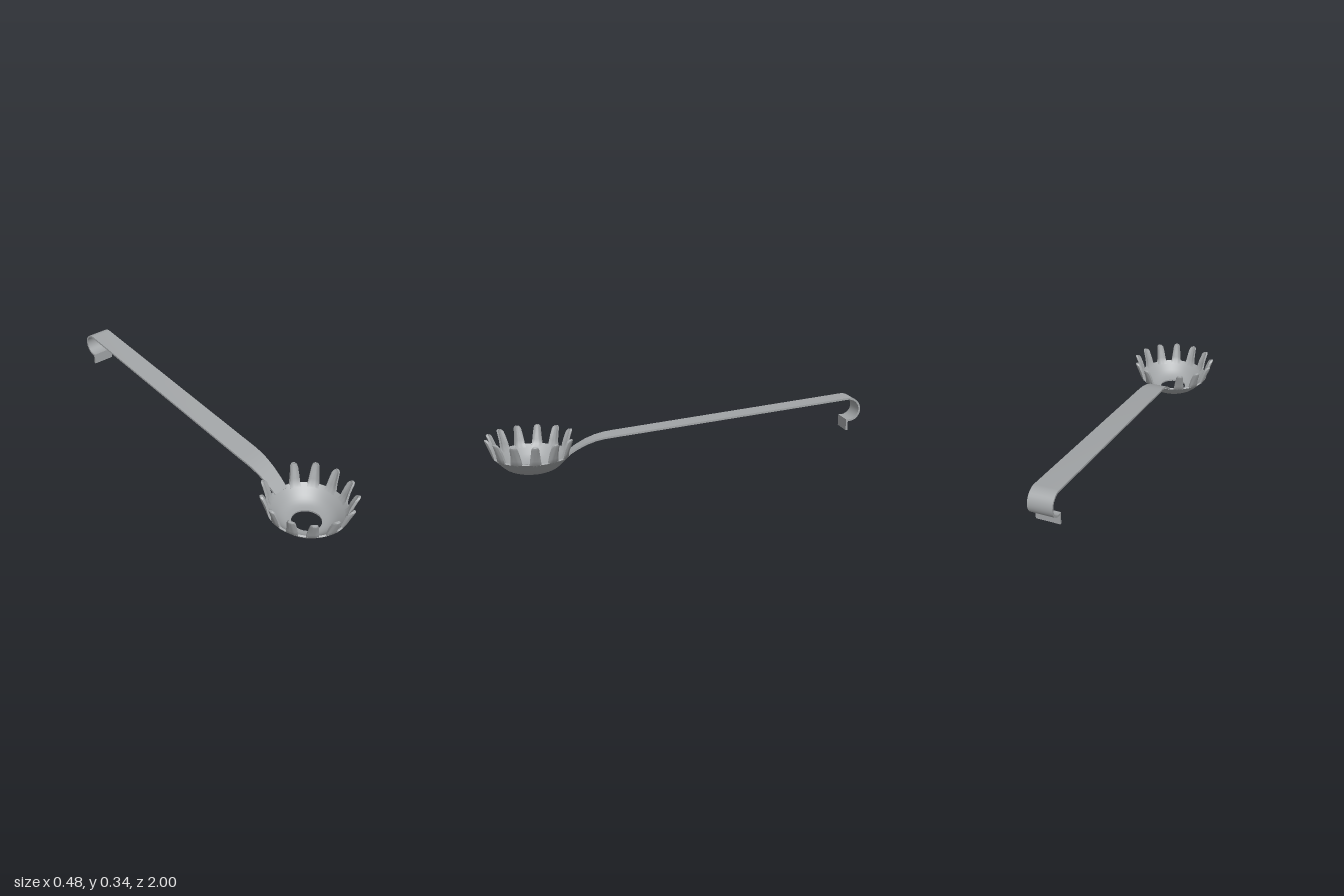
import * as THREE from 'three';
import { toCreasedNormals } from 'three/addons/utils/BufferGeometryUtils.js';

const BOWL_Z = 0.763;
const STEP = (Math.PI * 2) / 13; // twelve prongs plus the handle share the rim

// Closed skin over equal rings; each ring runs along the outer face, then back along the inner one
function loft(rings) {
  const n = rings[0].length;
  const index = [];
  for (let i = 0; i < rings.length - 1; i++) {
    for (let j = 0; j < n; j++) {
      const a = i * n + j, b = i * n + ((j + 1) % n);
      index.push(a, b, b + n, a, b + n, a + n);
    }
  }
  const top = (rings.length - 1) * n;
  for (let k = 0; k < n / 2 - 1; k++) {
    const a = k, b = k + 1, c = n - 2 - k, d = n - 1 - k;
    index.push(a, c, b, a, d, c);
    index.push(top + a, top + b, top + c, top + a, top + c, top + d);
  }
  const geo = new THREE.BufferGeometry();
  geo.setAttribute('position', new THREE.Float32BufferAttribute(rings.flat(2), 3));
  geo.setIndex(index);
  return toCreasedNormals(geo, 0.6);
}

// Bowl wall with a drain hole, as one closed profile
function bowlGeometry() {
  const profile = [
    [0.075, 0], [0.09, 0.002], [0.108, 0.006], [0.125, 0.013], [0.14, 0.022],
    [0.155, 0.035], [0.17, 0.05], [0.19, 0.07], [0.202, 0.083],
    [0.194, 0.088], [0.181, 0.074], [0.163, 0.057], [0.148, 0.042], [0.134, 0.03],
    [0.12, 0.021], [0.105, 0.014], [0.09, 0.011], [0.075, 0.009], [0.075, 0],
  ].map(([r, y]) => new THREE.Vector2(r, y));
  return toCreasedNormals(new THREE.LatheGeometry(profile, 64), 0.6);
}

// Tapered prong, leaning outward, with its sides curled toward the bowl
function prongGeometry() {
  // outer radius, height, half width, curl
  const rows = [
    [0.189, 0.069, 0.031, 0.003], [0.203, 0.084, 0.030, 0.004],
    [0.212, 0.107, 0.027, 0.008], [0.222, 0.133, 0.024, 0.011],
    [0.236, 0.168, 0.020, 0.011], [0.239, 0.177, 0.017, 0.008],
    [0.240, 0.182, 0.011, 0.004], [0.239, 0.184, 0.006, 0.001],
  ];
  const across = [-1, -0.6, -0.25, 0.25, 0.6, 1];
  return loft(rows.map(([r, y, w, curl]) => {
    const outer = across.map((u) => [u * w, y, r - curl * u * u]);
    const inner = across.map((u) => [u * w * 0.92, y + 0.002, r - 0.011 - curl * u * u]);
    return [...outer, ...inner.reverse()];
  }));
}

// Flat strip handle swept along a side profile of [z, y] points, with mitred bends
function handleGeometry() {
  const path = [
    [0.583, 0.077], [0.565, 0.09], [0.53, 0.113], [0.48, 0.14],
    [0.43, 0.159], [0.385, 0.17], [0.34, 0.1765],
  ];
  // rounded hook
  for (let i = 0; i <= 16; i++) {
    const a = THREE.MathUtils.lerp(Math.PI / 2 - 0.12, Math.PI * 1.5, i / 16);
    path.push([-0.935 + Math.cos(a) * 0.06, 0.275 + Math.sin(a) * 0.06]);
  }
  // end tab
  path.push([-0.929, 0.215], [-0.929, 0.16]);

  const pts = path.map(([z, y]) => new THREE.Vector2(z, y));
  const half = 0.005;
  return loft(pts.map((p, i) => {
    const before = p.clone().sub(pts[Math.max(i - 1, 0)]).normalize();
    const after = pts[Math.min(i + 1, pts.length - 1)].clone().sub(p).normalize();
    const t = before.clone().add(after).normalize();
    const known = i === 0 ? after : before;
    const d = half / Math.max(t.dot(known), 0.5);
    const nz = t.y * d, ny = -t.x * d;
    const w = THREE.MathUtils.clamp(THREE.MathUtils.mapLinear(p.x, 0.57, 0.36, 0.042, 0.06), 0.04, 0.06);
    return [
      [-w, p.y + ny, p.x + nz], [w, p.y + ny, p.x + nz],
      [w, p.y - ny, p.x - nz], [-w, p.y - ny, p.x - nz],
    ];
  }));
}

export function createModel() {
  const steel = new THREE.MeshStandardMaterial({ color: 0xa2a5a7 });
  steel.name = 'steel grey';

  const model = new THREE.Group();
  model.name = 'pastaServer';

  const head = new THREE.Group();
  head.name = 'head';
  head.position.z = BOWL_Z;
  model.add(head);

  const bowl = new THREE.Mesh(bowlGeometry(), steel);
  bowl.name = 'bowl';
  head.add(bowl);

  // Prongs around the rim, leaving the rear place to the handle
  const prong = prongGeometry();
  for (let i = 0; i < 12; i++) {
    const mesh = new THREE.Mesh(prong, steel);
    mesh.name = `prong${i + 1}`;
    mesh.rotation.y = (i - 5.5) * STEP;
    head.add(mesh);
  }

  const handle = new THREE.Mesh(handleGeometry(), steel);
  handle.name = 'handle';
  model.add(handle);

  return model;
}
